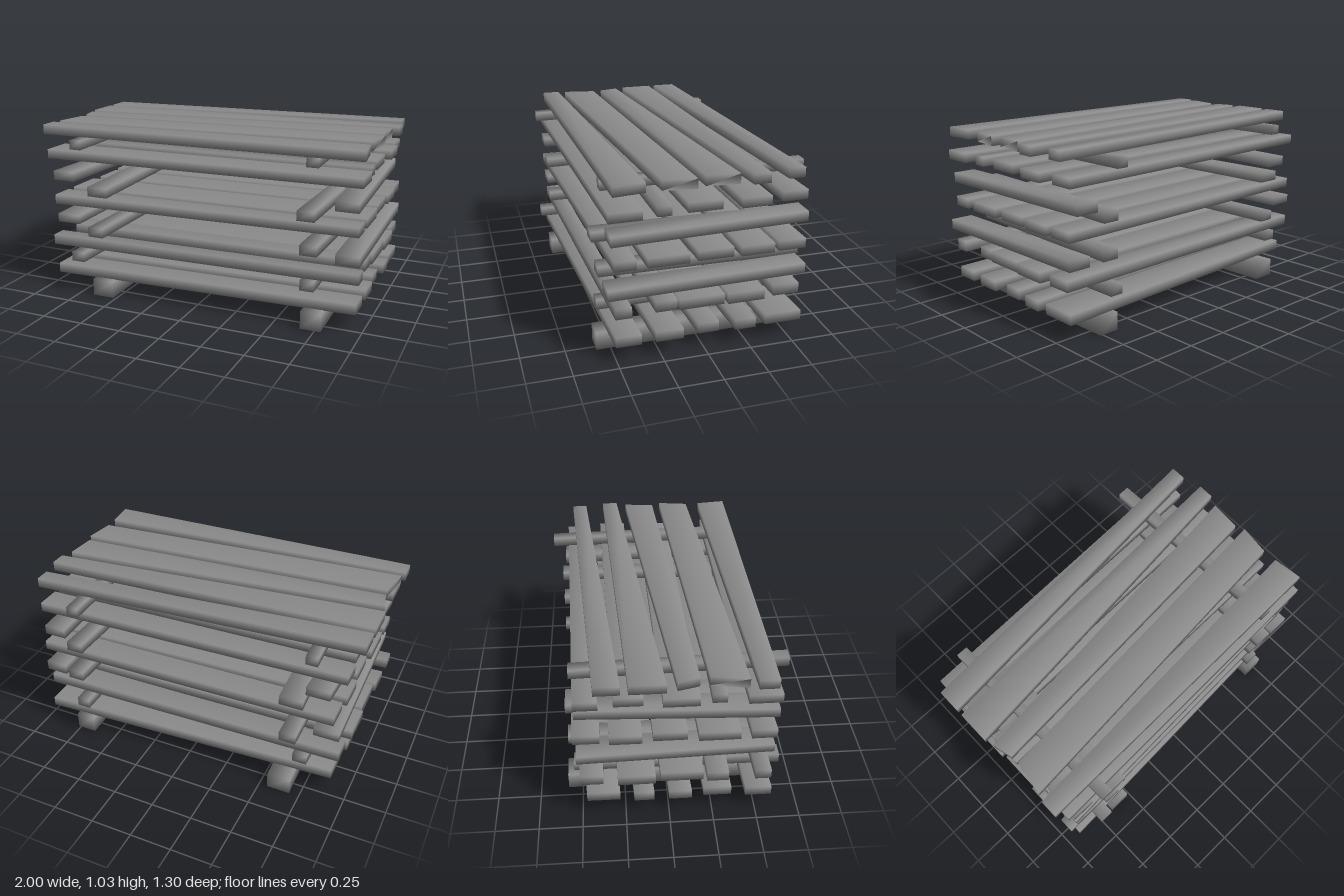
import * as THREE from 'three';

// Board from four plan corners [x, z] (counterclockwise seen from above), with shared smooth corners
function board(name, corners, y0, y1, material) {
  const pos = [];
  for (const y of [y0, y1]) for (const [x, z] of corners) pos.push(x, y, z);
  const index = [4, 5, 6, 4, 6, 7, 0, 2, 1, 0, 3, 2];
  for (let i = 0; i < 4; i++) {
    const j = (i + 1) % 4;
    index.push(i, j, j + 4, i, j + 4, i + 4);
  }
  const geo = new THREE.BufferGeometry();
  geo.setAttribute('position', new THREE.Float32BufferAttribute(pos, 3));
  geo.setIndex(index);
  geo.computeVertexNormals();
  const mesh = new THREE.Mesh(geo, material);
  mesh.name = name;
  return mesh;
}

export function createModel() {
  const group = new THREE.Group();
  group.name = 'plankStack';
  const wood = new THREE.MeshStandardMaterial({ color: 0x8c8c8c });
  wood.name = 'greyWood';

  // Long plank layers; each plank: right end x, z back, z front; left end x, z back, z front
  const layers = [
    { name: 'bottomPlank', y: [0.103, 0.163], planks: [
      [0.95, -0.565, -0.35, -0.9, -0.47, -0.28],
      [0.96, -0.29, -0.17, -0.915, -0.2, -0.085],
      [0.94, -0.08, 0.04, -0.915, 0, 0.13],
      [0.96, 0.13, 0.285, -0.9, 0.2, 0.36],
      [0.96, 0.365, 0.508, -0.915, 0.44, 0.59]] },
    { name: 'lowerPlank', y: [0.278, 0.34], planks: [
      [0.95, -0.54, -0.39, -0.94, -0.5, -0.37],
      [0.97, -0.33, -0.12, -0.955, -0.29, -0.08],
      [0.96, -0.1, 0.155, -0.94, -0.05, 0.19],
      [0.95, 0.165, 0.285, -0.955, 0.21, 0.33],
      [0.97, 0.42, 0.51, -0.955, 0.48, 0.57]] },
    { name: 'middlePlank', y: [0.55, 0.607], planks: [
      [0.95, -0.565, -0.41, -0.9, -0.53, -0.38],
      [0.96, -0.38, -0.19, -0.915, -0.33, -0.15],
      [0.95, -0.15, 0.05, -0.9, -0.09, 0.1],
      [0.96, 0.1, 0.33, -0.915, 0.16, 0.39],
      [0.96, 0.39, 0.51, -0.915, 0.45, 0.59]] },
    { name: 'upperPlank', y: [0.832, 0.887], planks: [
      [0.94, -0.565, -0.42, -0.95, -0.51, -0.38],
      [0.97, -0.345, -0.18, -0.93, -0.3, -0.14],
      [0.95, -0.08, 0.11, -0.95, -0.04, 0.155],
      [0.96, 0.2, 0.28, -0.93, 0.22, 0.3],
      [0.98, 0.36, 0.54, -0.95, 0.41, 0.59]] },
  ];
  for (const { name, y, planks } of layers) {
    for (const [xr, r0, r1, xl, l0, l1] of planks) {
      group.add(board(name, [[xl, l0], [xl, l1], [xr, r1], [xr, r0]], y[0], y[1], wood));
    }
  }

  // Top deck with crooked plank ends
  const deck = [
    [[-1, -0.4], [-1, -0.26], [0.97, -0.435], [0.97, -0.525]],
    [[-1, -0.22], [-1, -0.025], [1, -0.225], [1, -0.32]],
    [[-0.985, 0.03], [-0.955, 0.147], [0.955, 0.02], [0.97, -0.163]],
    [[-0.95, 0.2], [-0.985, 0.4], [0.955, 0.254], [0.98, 0.072]],
    [[-1, 0.445], [-1, 0.55], [0.98, 0.515], [0.96, 0.34]],
  ];
  for (const corners of deck) group.add(board('topPlank', corners, 0.97, 1.027, wood));

  // Cross beams: y range, then back end x, x, z and front end x, x, z
  const beams = [
    ['baseBeam', 0, 0.105, -0.69, -0.55, -0.585, -0.655, -0.52, 0.615],
    ['baseBeam', 0, 0.105, 0.645, 0.765, -0.585, 0.665, 0.785, 0.58],
    ['lowerBeam', 0.22, 0.278, -0.765, -0.68, -0.54, -0.775, -0.69, 0.65],
    ['lowerBeam', 0.22, 0.278, 0.64, 0.72, -0.62, 0.65, 0.73, 0.56],
    ['outerSlat', 0.435, 0.487, -0.935, -0.785, -0.515, -0.905, -0.755, 0.585],
    ['innerSlat', 0.37, 0.428, -0.7, -0.6, -0.565, -0.685, -0.585, 0.6],
    ['innerSlat', 0.422, 0.482, 0.665, 0.765, -0.615, 0.64, 0.74, 0.55],
    ['outerSlat', 0.397, 0.457, 0.82, 0.955, -0.57, 0.845, 0.98, 0.55],
    ['outerSlat', 0.7, 0.757, -0.865, -0.725, -0.515, -0.917, -0.778, 0.59],
    ['innerSlat', 0.628, 0.685, -0.73, -0.59, -0.565, -0.67, -0.54, 0.61],
    ['innerSlat', 0.628, 0.685, 0.655, 0.755, -0.61, 0.63, 0.73, 0.58],
    ['outerSlat', 0.69, 0.748, 0.78, 0.915, -0.59, 0.826, 0.96, 0.525],
    ['topBeam', 0.915, 0.97, -0.785, -0.715, -0.53, -0.75, -0.68, 0.65],
    ['topBeam', 0.915, 0.97, 0.625, 0.695, -0.65, 0.66, 0.73, 0.525],
  ];
  for (const [name, y0, y1, b0, b1, bz, f0, f1, fz] of beams) {
    group.add(board(name, [[b0, bz], [f0, fz], [f1, fz], [b1, bz]], y0, y1, wood));
  }
  return group;
}
